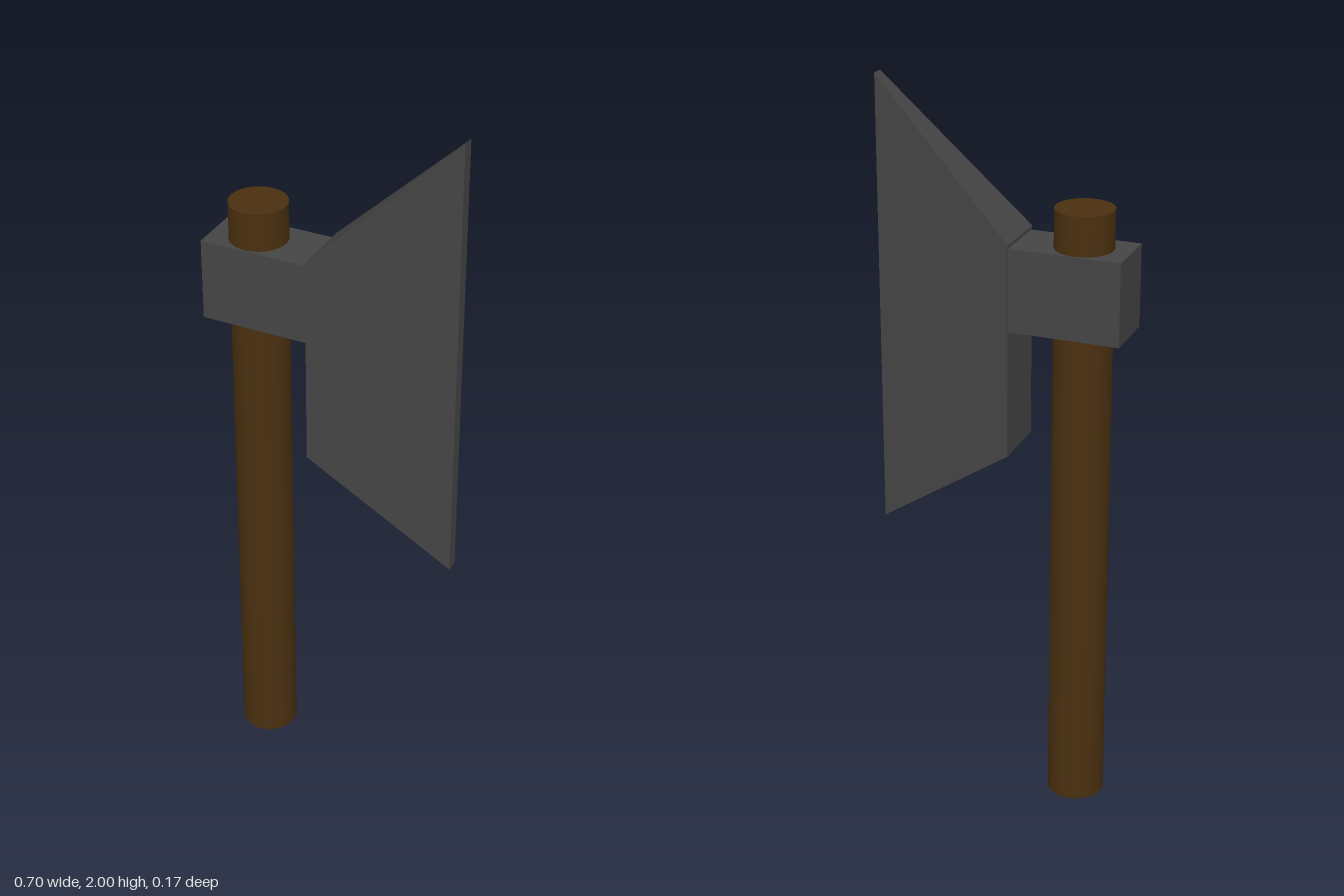
import * as THREE from 'three';

const wood = new THREE.MeshStandardMaterial({ color: 0x4a3010 });
const steel = new THREE.MeshStandardMaterial({ color: 0x454545 });
const steelFlat = new THREE.MeshStandardMaterial({ color: 0x454545, flatShading: true });

function addPart(group, name, geometry, material, x, y, z) {
  const mesh = new THREE.Mesh(geometry, material);
  mesh.name = name;
  mesh.position.set(x, y, z);
  group.add(mesh);
}

// Box whose two x ends have their own height and depth ranges
function taperedBox(inner, outer) {
  const geometry = new THREE.BoxGeometry(1, 1, 1);
  const p = geometry.attributes.position;
  for (let i = 0; i < p.count; i++) {
    const end = p.getX(i) < 0 ? inner : outer;
    p.setXYZ(i, end.x, end.y[p.getY(i) < 0 ? 0 : 1], end.z[p.getZ(i) < 0 ? 0 : 1]);
  }
  geometry.computeVertexNormals();
  return geometry;
}

export function createModel() {
  const axe = new THREE.Group();
  axe.name = 'axe';

  // Round shaft, poking out above the socket
  addPart(axe, 'handle', new THREE.CylinderGeometry(0.078, 0.078, 1.71, 32), wood, -0.225, 0.855, -0.001);

  // Block that wraps the shaft
  addPart(axe, 'socket', new THREE.BoxGeometry(0.3, 0.225, 0.165), steel, -0.2, 1.4925, -0.001);

  // Flared blade, thinning to a narrow, slightly off-centre edge
  const blade = taperedBox(
    { x: -0.05, y: [1.03, 1.615], z: [-0.088, 0.086] },
    { x: 0.347, y: [0.75, 2], z: [-0.005, 0.03] },
  );
  addPart(axe, 'blade', blade, steelFlat, 0, 0, 0);

  return axe;
}
